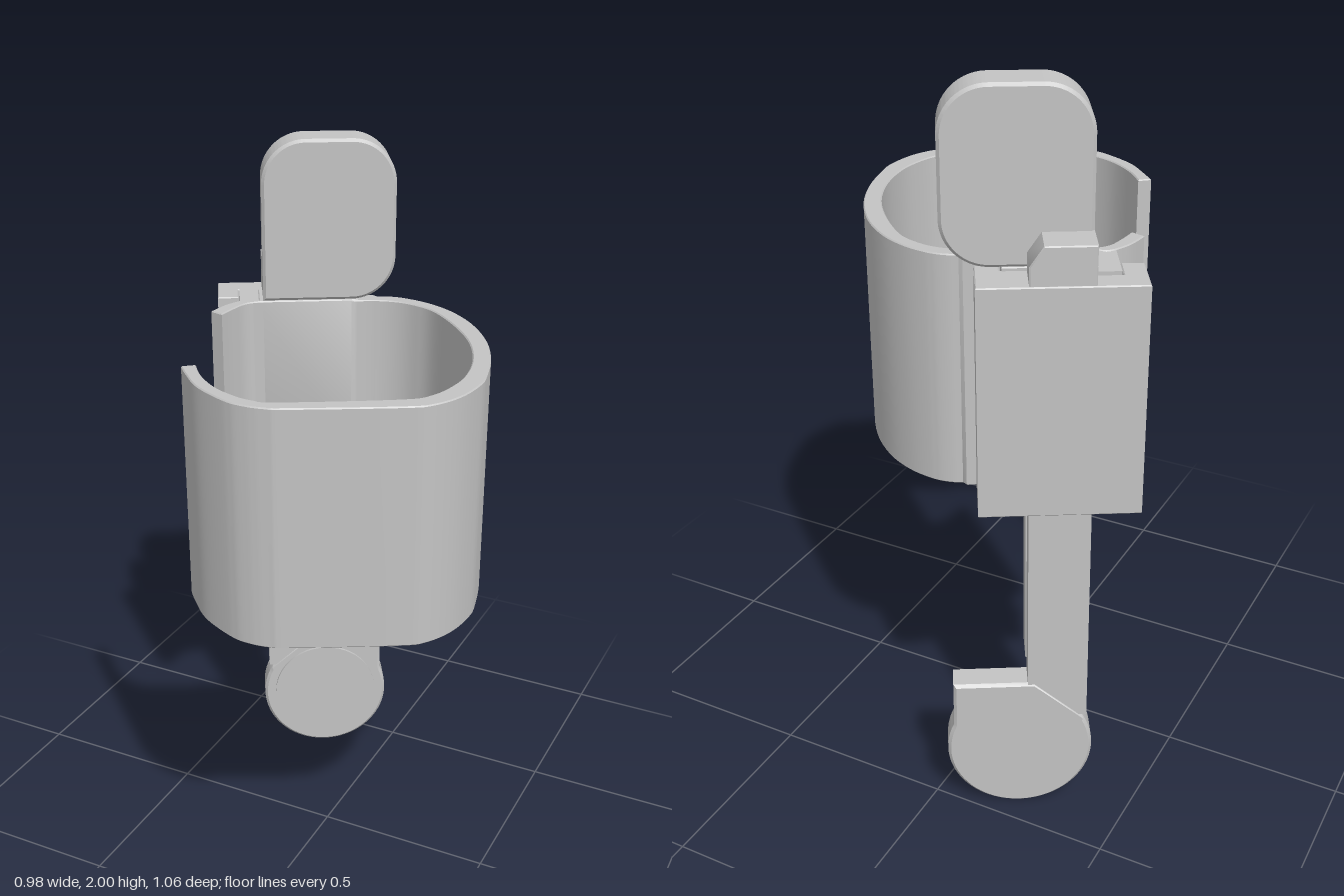
import * as THREE from 'three';
import { toCreasedNormals } from 'three/addons/utils/BufferGeometryUtils.js';

const grey = new THREE.MeshStandardMaterial({ color: 0xc4c4c4 });
grey.name = 'light grey';

const V = (x, y) => new THREE.Vector2(x, y);

function addMesh(parent, name, geometry) {
  const mesh = new THREE.Mesh(toCreasedNormals(geometry, 0.6), grey);
  mesh.name = name;
  parent.add(mesh);
}

// Upright extrusion of an (x, z) outline between two heights
function standing(points, y0, y1) {
  const shape = new THREE.Shape(points.map(([x, z]) => V(x, -z)));
  const b = 0.003;
  const g = new THREE.ExtrudeGeometry(shape, {
    depth: y1 - y0 - 2 * b, bevelThickness: b, bevelSize: b, bevelOffset: -b, bevelSegments: 1,
  });
  return g.rotateX(-Math.PI / 2).translate(0, y0 + b, 0);
}

// Plate drawn in (x, y) and thickened from z0 to z1
function plate(shape, z0, z1, b = 0.008) {
  return new THREE.ExtrudeGeometry(shape, {
    depth: z1 - z0 - 2 * b, bevelThickness: b, bevelSize: b, bevelOffset: -b,
    bevelSegments: 1, curveSegments: 24,
  }).translate(0, 0, z0 + b);
}

function box(x0, x1, y0, y1, z0, z1) {
  return new THREE.BoxGeometry(x1 - x0, y1 - y0, z1 - z0)
    .translate((x0 + x1) / 2, (y0 + y1) / 2, (z0 + z1) / 2);
}

// Smooth curve through (x, z) points
function smooth(pairs, n) {
  return new THREE.SplineCurve(pairs.map(p => V(...p))).getPoints(n).map(p => [p.x, p.y]);
}

export function createModel() {
  const model = new THREE.Group();
  model.name = 'cuffWithSlidingLever';
  const y0 = 0.925, y1 = 1.562;

  // Open arm cuff: outer curve out, inner curve back
  const outer = smooth([
    [-0.03, -0.335], [0.015, -0.355], [0.066, -0.361], [0.143, -0.347], [0.225, -0.308],
    [0.312, -0.234], [0.39, -0.128], [0.446, -0.008], [0.479, 0.11], [0.486, 0.171],
    [0.473, 0.26], [0.435, 0.335], [0.378, 0.38], [0.143, 0.507], [0.095, 0.526],
    [0.044, 0.532], [-0.013, 0.523], [-0.112, 0.475], [-0.177, 0.416], [-0.216, 0.374]], 110);
  const inner = smooth([
    [-0.188, 0.35], [-0.14, 0.406], [-0.069, 0.46], [0.001, 0.488], [0.05, 0.494],
    [0.106, 0.48], [0.35, 0.341], [0.406, 0.285], [0.429, 0.2], [0.429, 0.115],
    [0.404, 0.01], [0.35, -0.103], [0.27, -0.205], [0.18, -0.288], [0.115, -0.316],
    [0.058, -0.322], [0, -0.308], [-0.06, -0.275]], 110);
  addMesh(model, 'cuffBand', standing([...outer, ...inner], y0, y1));

  // Short curved lip beside the cuff opening
  const lipOut = smooth([[-0.32, -0.16], [-0.336, -0.14], [-0.355, -0.09], [-0.363, -0.027]], 16);
  const lipIn = smooth([[-0.324, -0.016], [-0.32, -0.07], [-0.309, -0.126], [-0.27, -0.17]], 16);
  addMesh(model, 'cuffLip', standing([...lipOut, ...lipIn], y0, y1));

  // Everything below sits on the back flat of the cuff, turned by 30 degrees
  const slide = new THREE.Group();
  slide.name = 'slideMechanism';
  slide.rotation.y = Math.PI / 6;
  model.add(slide);

  // Cuff back wall, thicker in the middle, and its side rail
  addMesh(slide, 'cuffBackWall', standing([
    [-0.17, -0.277], [-0.17, -0.39], [0.06, -0.39], [0.06, -0.318], [0.15, -0.316],
    [0.18, -0.277]], y0, y1));
  addMesh(slide, 'cuffRail', box(-0.222, -0.158, y0 + 0.003, y1 - 0.003, -0.42, -0.272));

  // Housing cover with hooked edges
  addMesh(slide, 'housingCover', standing([
    [-0.283, -0.352], [-0.283, -0.491], [0.125, -0.491], [0.125, -0.352], [0.065, -0.352],
    [0.065, -0.385], [-0.15, -0.385], [-0.15, -0.424], [-0.225, -0.424],
    [-0.225, -0.352]], 0.935, 1.552));

  // Upper paddle: three rounded corners, one square
  const L = -0.158, R = 0.206, B = y1, T = 2, r = 0.12;
  const paddle = new THREE.Shape();
  paddle.moveTo(L, B);
  paddle.lineTo(R - r, B);
  paddle.absarc(R - r, B + r, r, -Math.PI / 2, 0);
  paddle.absarc(R - r, T - r, r, 0, Math.PI / 2);
  paddle.absarc(L + r, T - r, r, Math.PI / 2, Math.PI);
  addMesh(slide, 'upperPaddle', plate(paddle, -0.394, -0.277));

  // Sloped stub of the rod above the housing
  const stub = new THREE.Shape([
    V(-0.158, 1.5), V(0, 1.5), V(0, 1.6), V(-0.034, 1.65), V(-0.158, 1.65)]);
  addMesh(slide, 'rodStub', plate(stub, -0.487, -0.385, 0.003));

  // Rod: thick front block and the back plate running down to the disc
  addMesh(slide, 'rodBlock', box(-0.16, 0.003, 0.445, 0.95, -0.42, -0.325));
  addMesh(slide, 'rodPlate', box(-0.158, 0, 0.3, 0.95, -0.487, -0.413));

  // Lower round paddle with a squared upper corner
  const cx = 0.021, cy = 0.197, rad = 0.195;
  const disc = new THREE.Shape();
  disc.moveTo(0.198, 0.41);
  disc.lineTo(-0.02, 0.41);
  disc.lineTo(-0.146, 0.297);
  disc.absarc(cx, cy, rad, 2.6, Math.PI * 2 + 0.43);
  addMesh(slide, 'lowerPaddle', plate(disc, -0.49, -0.41));
  const face = new THREE.CylinderGeometry(0.16, 0.16, 0.02, 48).rotateX(Math.PI / 2);
  addMesh(slide, 'lowerPaddleFace', face.translate(cx, 0.203, -0.412));

  return model;
}
